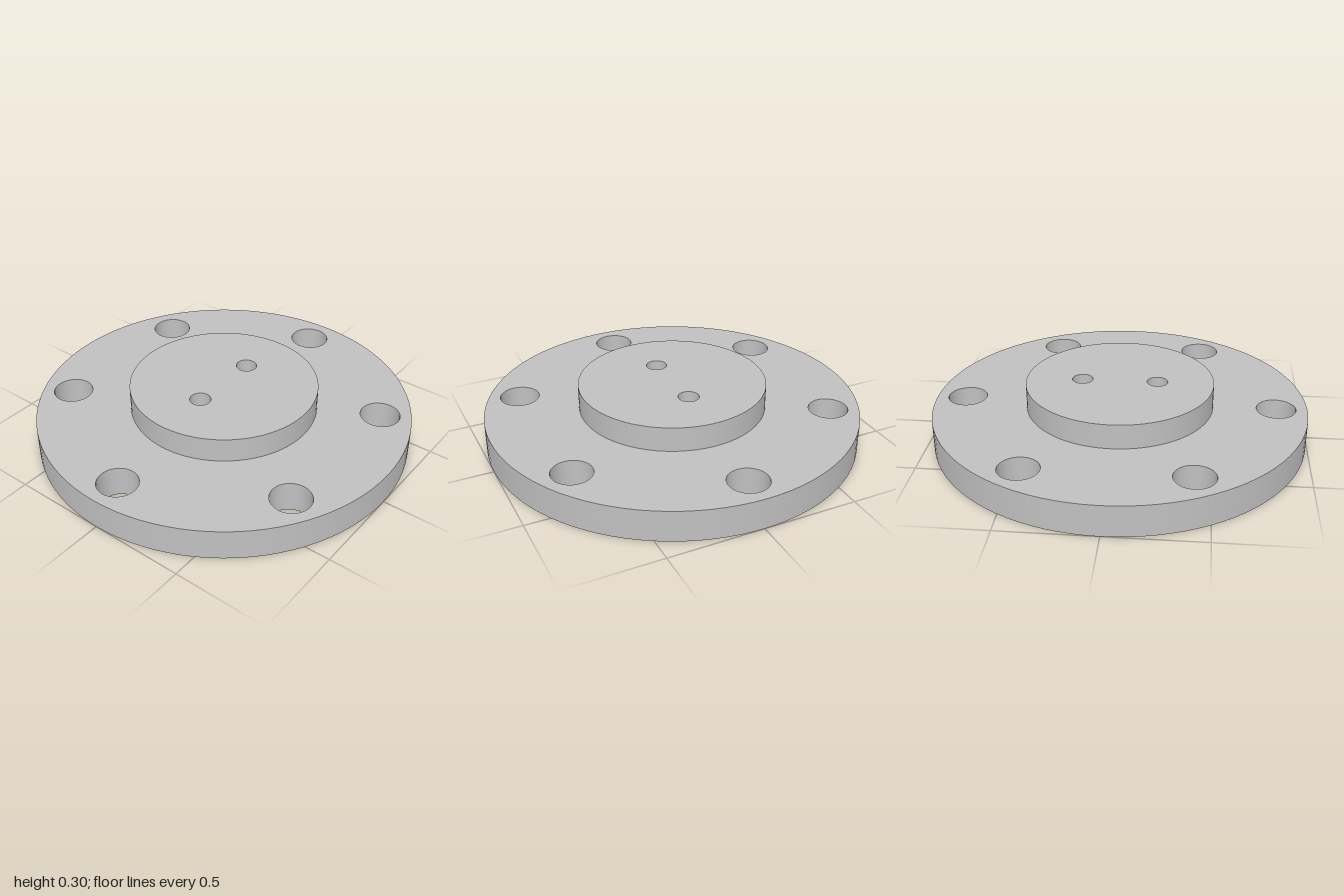
import * as THREE from 'three';

const PLATE_R = 1, PLATE_TOP = 0.167;
const BOSS_R = 0.5, BOSS_TOP = 0.3;
const RECESS_R = 0.4, RECESS_TOP = 0.2;
const SEGMENTS = 96;

// Hole centres as { x, z, r }
const boltHoles = Array.from({ length: 6 }, (_, i) => {
  const a = (i * Math.PI) / 3;
  return { x: 0.835 * Math.cos(a), z: 0.835 * Math.sin(a), r: 0.105 };
});
const pinHoles = [-0.2, 0.2].map((x) => ({ x, z: 0, r: 0.055 }));

export function createModel() {
  const steel = new THREE.MeshStandardMaterial({ color: 0xc0c0c0 });
  steel.name = 'steel grey';

  const add = (group, name, geometry) => {
    const mesh = new THREE.Mesh(geometry, steel);
    mesh.name = name;
    group.add(mesh);
    return mesh;
  };

  // Flat round face with holes, facing up or down
  const face = (group, name, radius, holes, y, up) => {
    const shape = new THREE.Shape().absarc(0, 0, radius, 0, Math.PI * 2);
    for (const h of holes) {
      shape.holes.push(new THREE.Path().absarc(h.x, up ? -h.z : h.z, h.r, 0, Math.PI * 2, true));
    }
    const geometry = new THREE.ShapeGeometry(shape, SEGMENTS / 2);
    geometry.rotateX(up ? -Math.PI / 2 : Math.PI / 2);
    add(group, name, geometry).position.y = y;
  };

  // Round wall: rising from y0 to y1 it faces outward, falling it faces inward
  const wall = (group, name, r, y0, y1, x = 0, z = 0) => {
    const profile = [new THREE.Vector2(r, y0), new THREE.Vector2(r, y1)];
    add(group, name, new THREE.LatheGeometry(profile, SEGMENTS)).position.set(x, 0, z);
  };

  // Wide plate with a ring of bolt holes
  const flange = new THREE.Group();
  flange.name = 'flange';
  wall(flange, 'flangeRim', PLATE_R, 0, PLATE_TOP);
  face(flange, 'flangeTop', PLATE_R, [...boltHoles, { x: 0, z: 0, r: BOSS_R }], PLATE_TOP, true);
  face(flange, 'flangeUnderside', PLATE_R, [...boltHoles, { x: 0, z: 0, r: RECESS_R }], 0, false);
  boltHoles.forEach((h) => wall(flange, 'boltHole', h.r, PLATE_TOP, 0, h.x, h.z));

  // Raised boss, hollow from below, with two pin holes
  const boss = new THREE.Group();
  boss.name = 'boss';
  wall(boss, 'bossRim', BOSS_R, PLATE_TOP, BOSS_TOP);
  face(boss, 'bossTop', BOSS_R, pinHoles, BOSS_TOP, true);
  wall(boss, 'recessWall', RECESS_R, RECESS_TOP, 0);
  face(boss, 'recessCeiling', RECESS_R, pinHoles, RECESS_TOP, false);
  pinHoles.forEach((h) => wall(boss, 'pinHole', h.r, BOSS_TOP, RECESS_TOP, h.x, h.z));

  const model = new THREE.Group();
  model.name = 'flangedCap';
  model.add(flange, boss);
  return model;
}
